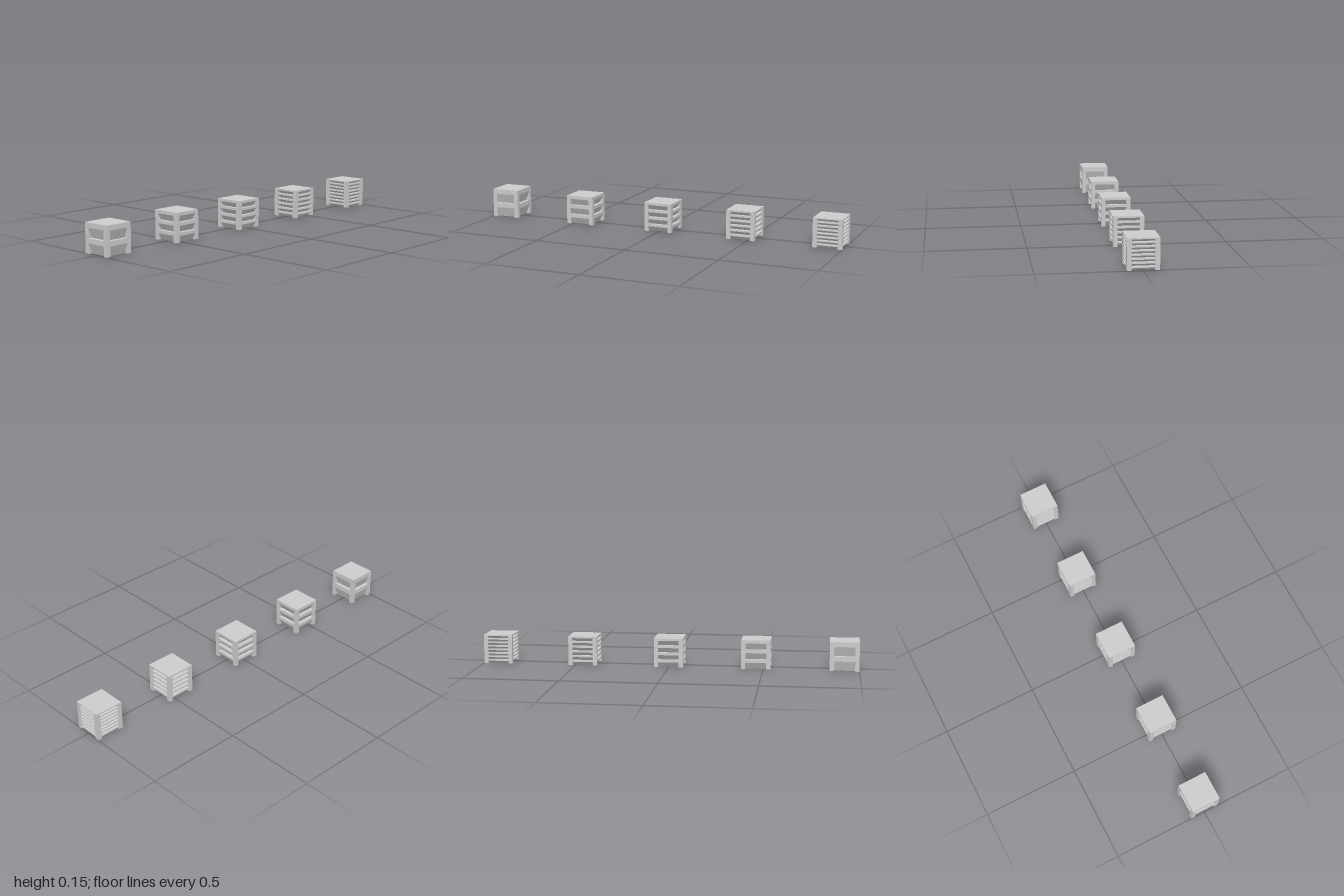
import * as THREE from 'three';

const SIZE = 2 / 13;      // edge of one cube
const PITCH = SIZE * 3;   // distance between cube centres
const POST = 0.022;       // square corner post
const DEPTH = 0.02;       // how far each louvre cuts inward

const material = new THREE.MeshStandardMaterial({ color: 0xcccccc, flatShading: true });

// Square core with sawtooth sides: each louvre leans inward towards its bottom,
// with a flush rail above it.
function louvreCore(count) {
  const outer = (SIZE / 2) * Math.SQRT2;
  const inner = (SIZE / 2 - DEPTH) * Math.SQRT2;
  const step = SIZE / count;
  const profile = [new THREE.Vector2(0, 0)];
  for (let i = 0; i < count; i++) {
    profile.push(
      new THREE.Vector2(inner, i * step),
      new THREE.Vector2(outer, (i + 2 / 3) * step),
      new THREE.Vector2(outer, (i + 1) * step)
    );
  }
  profile.push(new THREE.Vector2(0, SIZE));
  const geometry = new THREE.LatheGeometry(profile, 4, Math.PI / 4).toNonIndexed();
  geometry.computeVertexNormals();
  const mesh = new THREE.Mesh(geometry, material);
  mesh.name = 'louvreCore';
  return mesh;
}

// One vented cube: louvred core between four corner posts
function ventCube(count) {
  const cube = new THREE.Group();
  cube.name = `ventCube${count}Louvres`;
  cube.add(louvreCore(count));
  const postGeometry = new THREE.BoxGeometry(POST, SIZE, POST);
  const offset = (SIZE - POST) / 2;
  for (const sx of [-1, 1]) {
    for (const sz of [-1, 1]) {
      const post = new THREE.Mesh(postGeometry, material);
      post.name = 'cornerPost';
      post.position.set(sx * offset, SIZE / 2, sz * offset);
      cube.add(post);
    }
  }
  return cube;
}

export function createModel() {
  const model = new THREE.Group();
  model.name = 'ventCubes';
  // Row of cubes with ever finer louvres from right to left
  [2, 3, 4, 6, 8].forEach((count, i) => {
    const cube = ventCube(count);
    cube.position.x = (i - 2) * PITCH;
    model.add(cube);
  });
  return model;
}
